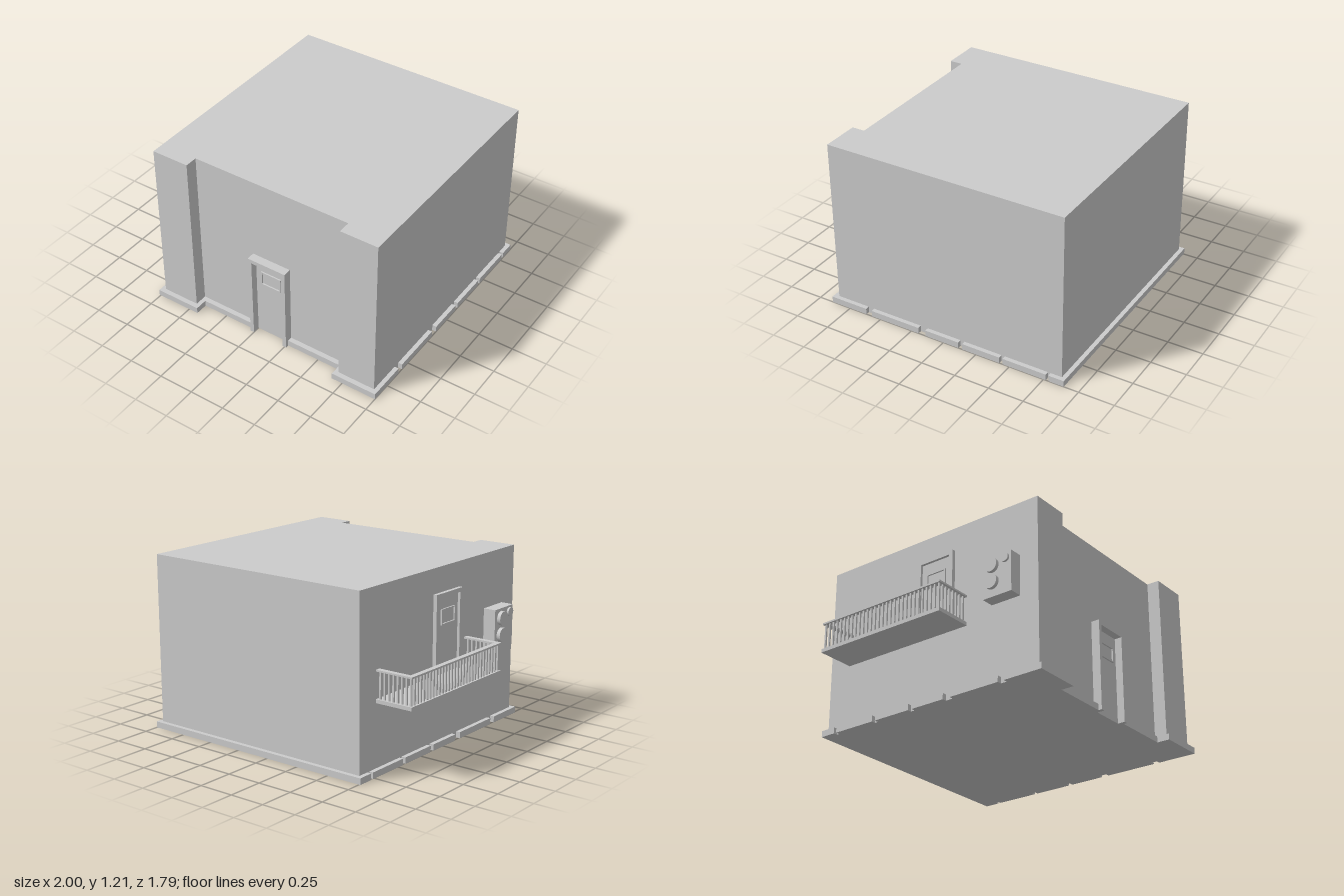
import * as THREE from 'three';

const material = new THREE.MeshStandardMaterial({ color: 0xcccccc, flatShading: true });
const smooth = new THREE.MeshStandardMaterial({ color: 0xcccccc });

function add(parent, name, geometry, mat = material) {
  const mesh = new THREE.Mesh(geometry, mat);
  mesh.name = name;
  parent.add(mesh);
  return mesh;
}

function group(parent, name) {
  const g = new THREE.Group();
  g.name = name;
  parent.add(g);
  return g;
}

// Box given by its minimum and maximum on each axis
function box(parent, name, [x0, x1], [y0, y1], [z0, z1]) {
  const mesh = add(parent, name, new THREE.BoxGeometry(x1 - x0, y1 - y0, z1 - z0));
  mesh.position.set((x0 + x1) / 2, (y0 + y1) / 2, (z0 + z1) / 2);
  return mesh;
}

// Ground outline of [x, z] corners raised to a height
function raise(parent, name, outline, height) {
  const shape = new THREE.Shape(outline.map(([x, z]) => new THREE.Vector2(x, -z)));
  const geometry = new THREE.ExtrudeGeometry(shape, { depth: height, bevelEnabled: false });
  geometry.rotateX(-Math.PI / 2);
  return add(parent, name, geometry);
}

// Rectangular ring in the xy plane, open at the bottom when sill is 0
function ring(parent, name, x0, x1, y0, y1, border, sill, z0, z1) {
  box(parent, name + 'Left', [x1 - border, x1], [y0, y1], [z0, z1]);
  box(parent, name + 'Right', [x0, x0 + border], [y0, y1], [z0, z1]);
  box(parent, name + 'Top', [x0 + border, x1 - border], [y1 - border, y1], [z0, z1]);
  if (sill) box(parent, name + 'Sill', [x0 + border, x1 - border], [y0, y0 + sill], [z0, z1]);
}

// Door centred on x = 0, standing on y = 0, with its back at z = 0
function door(parent, name, width, height, depth) {
  const g = group(parent, name);
  const w = width / 2;
  ring(g, 'doorFrame', -w, w, 0, height, 0.028, 0, 0, depth);
  box(g, 'doorLeaf', [-w + 0.028, w - 0.028], [0, height - 0.028], [0, 0.008]);
  ring(g, 'windowFrame', -0.075, 0.08, height - 0.215, height - 0.11, 0.008, 0.008, 0.008, 0.018);
  return g;
}

export function createModel() {
  const model = new THREE.Group();
  model.name = 'building';

  // Main block with a recessed front
  raise(model, 'walls', [
    [-0.73, -0.865], [0.97, -0.865], [0.97, 0.86], [0.7, 0.86],
    [0.7, 0.77], [-0.46, 0.77], [-0.46, 0.86], [-0.73, 0.86],
  ], 1.21);

  // Plinth, broken by gaps along the sides and at the entrance
  const plinth = group(model, 'plinth');
  const h = 0.043;
  raise(plinth, 'backPlinth', [
    [-0.76, -0.895], [1, -0.895], [1, -0.785], [0.97, -0.785],
    [0.97, -0.865], [-0.73, -0.865], [-0.73, -0.785], [-0.76, -0.785],
  ], h);
  raise(plinth, 'frontRightPlinth', [
    [-0.76, 0.615], [-0.73, 0.615], [-0.73, 0.86], [-0.46, 0.86], [-0.46, 0.77],
    [-0.025, 0.77], [-0.025, 0.805], [-0.43, 0.805], [-0.43, 0.895], [-0.76, 0.895],
  ], h);
  raise(plinth, 'frontLeftPlinth', [
    [1, 0.615], [0.97, 0.615], [0.97, 0.86], [0.7, 0.86], [0.7, 0.77],
    [0.26, 0.77], [0.26, 0.805], [0.67, 0.805], [0.67, 0.895], [1, 0.895],
  ], h);
  for (const span of [[-0.765, -0.45], [-0.425, -0.145], [-0.115, 0.14], [0.195, 0.57]]) {
    box(plinth, 'leftPlinth', [0.97, 1], [0, h], span);
    box(plinth, 'rightPlinth', [-0.76, -0.73], [0, h], span);
  }

  // Entrance and balcony doors
  door(model, 'frontDoor', 0.29, 0.63, 0.06).position.set(0.117, 0, 0.77);
  const balconyDoor = door(model, 'balconyDoor', 0.295, 0.545, 0.027);
  balconyDoor.rotation.y = -Math.PI / 2;
  balconyDoor.position.set(-0.73, 0.495, 0.05);

  // Balcony slab, handrail and balusters
  const balcony = group(model, 'balcony');
  const railY = [0.672, 0.684];
  box(balcony, 'balconyFloor', [-1, -0.73], [0.47, 0.495], [-0.7, 0.3]);
  box(balcony, 'outerHandrail', [-1, -0.965], railY, [-0.7, 0.3]);
  box(balcony, 'backHandrail', [-0.965, -0.73], railY, [-0.7, -0.665]);
  box(balcony, 'frontHandrail', [-0.965, -0.73], railY, [0.265, 0.3]);
  const baluster = (x, z) =>
    box(balcony, 'baluster', [x - 0.006, x + 0.006], [0.495, 0.672], [z - 0.006, z + 0.006]);
  for (let i = 0; i <= 29; i++) baluster(-0.983, -0.683 + (i * 0.966) / 29);
  for (let i = 1; i <= 7; i++) {
    baluster(-0.983 + i * 0.033, -0.683);
    baluster(-0.983 + i * 0.033, 0.283);
  }

  // Wall unit with two fans and a small dial
  const unit = group(model, 'airConditioner');
  box(unit, 'unitCasing', [-0.82, -0.73], [0.55, 0.832], [0.5, 0.72]);
  const disc = (name, radius, depth, y, z) => {
    const mesh = add(unit, name, new THREE.CylinderGeometry(radius, radius, depth, 32), smooth);
    mesh.rotation.z = Math.PI / 2;
    mesh.position.set(-0.82 - depth / 2, y, z);
  };
  disc('lowerFan', 0.049, 0.025, 0.65, 0.574);
  disc('upperFan', 0.049, 0.025, 0.765, 0.574);
  disc('dial', 0.03, 0.015, 0.79, 0.675);

  return model;
}
